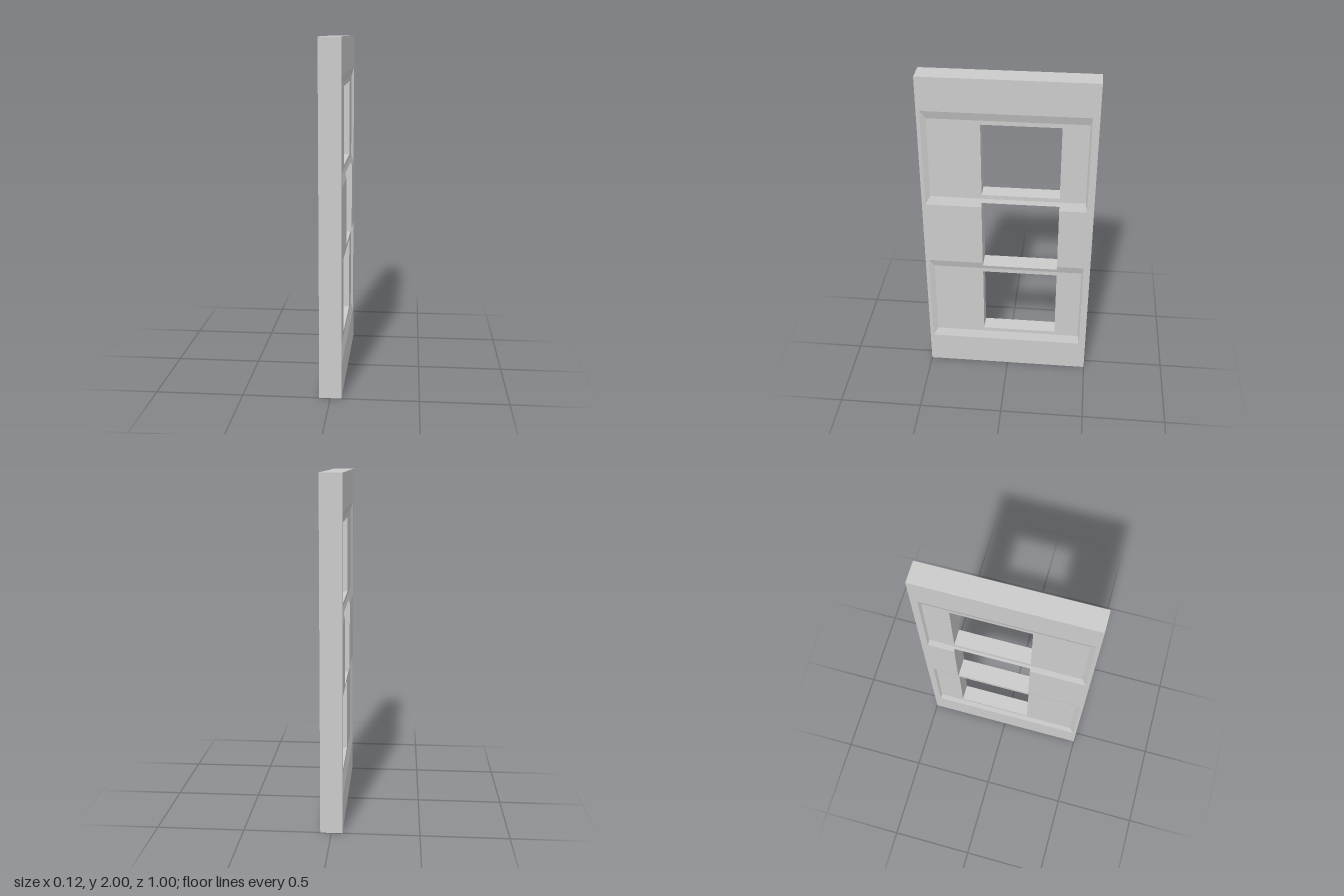
import * as THREE from 'three';

const HALF = 0.0625;   // half thickness of the slab
const DEPTH = 0.015;   // depth of the sunk panels
const PANELS = [[0.2, 0.8], [1.2, 1.8]];
const PANES = [[0.275, 0.725], [0.775, 1.225], [1.275, 1.725]];
const PANE_Z = [-0.3, 0.15];

// Grid lines where the surface bends or is cut
const Z = [-0.5, -0.46, -0.455, -0.45, -0.3, 0.15, 0.45, 0.465, 0.48, 0.5];
const Y = [0, 0.2, 0.225, 0.25, 0.275, 0.725, 0.75, 0.775, 0.8,
  1.2, 1.225, 1.25, 1.275, 1.725, 1.75, 1.775, 1.8, 2];

// How far the face is sunk at a point: bevelled rim, flat floor
function sunk(z, y) {
  let d = 0;
  for (const [lo, hi] of PANELS) {
    const ramp = Math.min(1, (0.48 - z) / 0.03, (z + 0.46) / 0.01, (y - lo) / 0.05, (hi - y) / 0.05);
    d = Math.max(d, ramp * DEPTH);
  }
  return d;
}

// True where grid cell (i, j) is solid, not outside and not in a window opening
function solid(i, j) {
  if (i < 0 || j < 0 || i >= Z.length - 1 || j >= Y.length - 1) return false;
  const z = (Z[i] + Z[i + 1]) / 2, y = (Y[j] + Y[j + 1]) / 2;
  return !(z > PANE_Z[0] && z < PANE_Z[1] && PANES.some(([lo, hi]) => y > lo && y < hi));
}

const point = (i, j, side) => [side * (HALF - sunk(Z[i], Y[j])), Y[j], Z[i]];

function quad(out, a, b, c, d) {
  out.push(...a, ...b, ...c, ...a, ...c, ...d);
}

function mesh(name, positions, material) {
  const geometry = new THREE.BufferGeometry();
  geometry.setAttribute('position', new THREE.Float32BufferAttribute(positions, 3));
  geometry.computeVertexNormals();
  const m = new THREE.Mesh(geometry, material);
  m.name = name;
  return m;
}

function eachCell(fn) {
  for (let i = 0; i < Z.length - 1; i++)
    for (let j = 0; j < Y.length - 1; j++) if (solid(i, j)) fn(i, j);
}

// One broad face with its sunk panels
function panelFace(side) {
  const out = [];
  eachCell((i, j) => {
    let q = [point(i, j, side), point(i, j + 1, side), point(i + 1, j + 1, side), point(i + 1, j, side)];
    if (side < 0) q.reverse();
    // Split each cell along the mitre of the bevels
    if (Math.abs(q[1][0] - q[3][0]) > Math.abs(q[0][0] - q[2][0])) q = [q[1], q[2], q[3], q[0]];
    quad(out, ...q);
  });
  return out;
}

// Outer edges and window reveals, joining both faces
function edgeWalls(inOpening) {
  const out = [];
  const inside = (i, j) => i >= 0 && j >= 0 && i < Z.length - 1 && j < Y.length - 1;
  eachCell((i, j) => {
    const edges = [
      [i, j, i, j + 1, i - 1, j],
      [i, j + 1, i + 1, j + 1, i, j + 1],
      [i + 1, j + 1, i + 1, j, i + 1, j],
      [i + 1, j, i, j, i, j - 1],
    ];
    for (const [pi, pj, qi, qj, ni, nj] of edges) {
      if (solid(ni, nj) || inside(ni, nj) !== inOpening) continue;
      quad(out, point(pi, pj, 1), point(pi, pj, -1), point(qi, qj, -1), point(qi, qj, 1));
    }
  });
  return out;
}

export function createModel() {
  const group = new THREE.Group();
  group.name = 'door';
  const material = new THREE.MeshStandardMaterial({ color: 0xcccccc, flatShading: true });
  group.add(
    mesh('leftFace', panelFace(1), material),
    mesh('rightFace', panelFace(-1), material),
    mesh('outerEdges', edgeWalls(false), material),
    mesh('windowReveals', edgeWalls(true), material),
  );
  return group;
}
